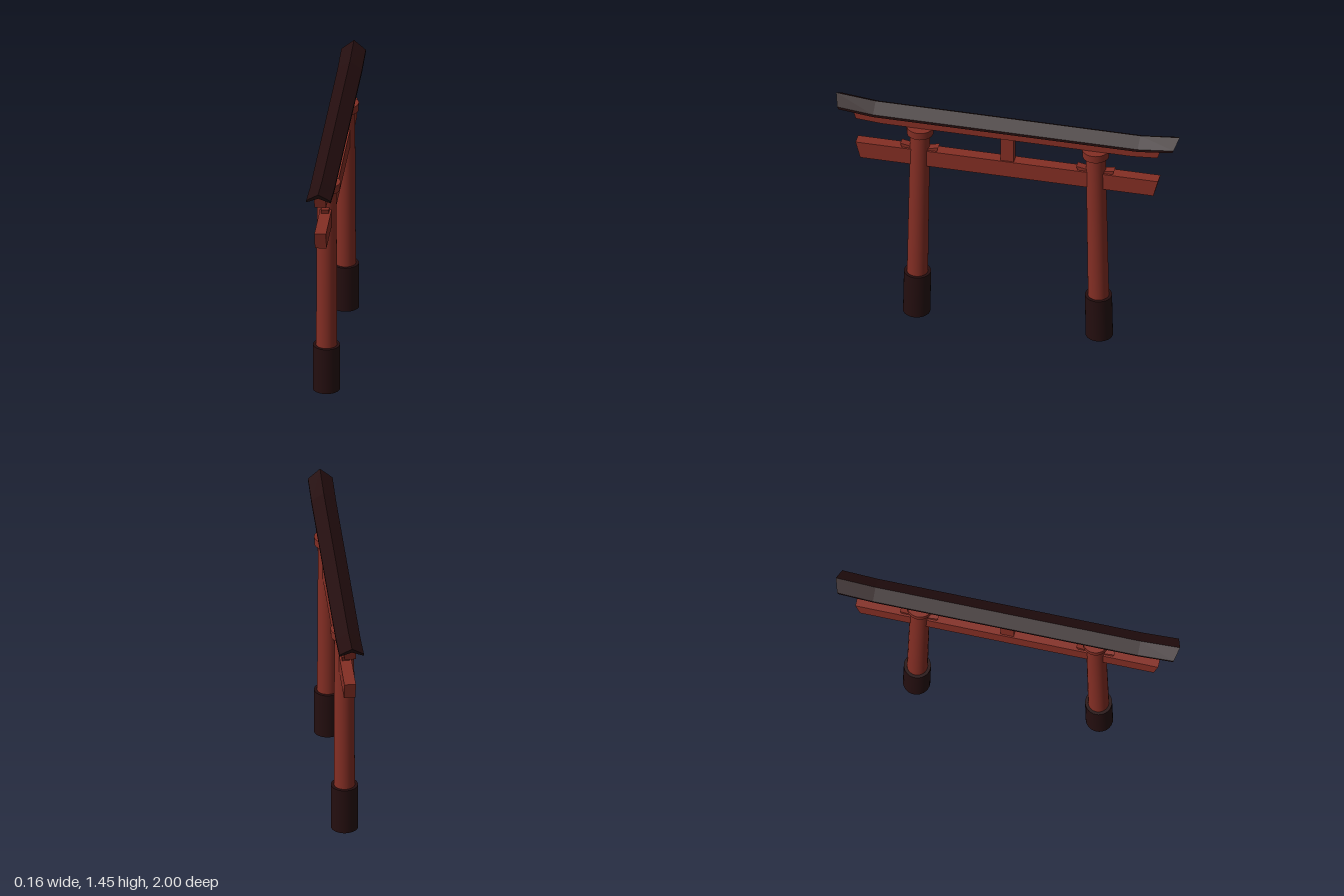
import * as THREE from 'three';

const red = new THREE.MeshStandardMaterial({ name: 'vermilion', color: 0x842e24 });
const black = new THREE.MeshStandardMaterial({ name: 'blackLacquer', color: 0x240e0f });

// Sweeps a counterclockwise profile [x, y] along z, with flat faces and end caps.
// Each station is { z, lift, rake }: lift raises it, rake leans it in z per unit of profile y.
function loft(profile, stations) {
  const rings = stations.map(({ z, lift = 0, rake = 0 }) =>
    profile.map(([x, y]) => [x, y + lift, z + y * rake]));
  const pos = [];
  const tri = (a, b, c) => pos.push(...a, ...b, ...c);
  const n = profile.length;
  for (let i = 0; i < rings.length - 1; i++) {
    for (let j = 0; j < n; j++) {
      const k = (j + 1) % n;
      tri(rings[i][j], rings[i][k], rings[i + 1][k]);
      tri(rings[i][j], rings[i + 1][k], rings[i + 1][j]);
    }
  }
  const first = rings[0], last = rings[rings.length - 1];
  const caps = THREE.ShapeUtils.triangulateShape(profile.map(([x, y]) => new THREE.Vector2(x, y)), []);
  for (const [a, b, c] of caps) {
    tri(last[a], last[b], last[c]);
    tri(first[a], first[c], first[b]);
  }
  const g = new THREE.BufferGeometry();
  g.setAttribute('position', new THREE.Float32BufferAttribute(pos, 3));
  g.computeVertexNormals();
  return g;
}

// Rectangle hanging down from y = 0
const bar = (halfWidth, height) =>
  [[-halfWidth, -height], [halfWidth, -height], [halfWidth, 0], [-halfWidth, 0]];

// Mirrors half a list of stations to the -z end
const mirrored = (half) => [
  ...half.map((s) => ({ ...s, z: -s.z, rake: -(s.rake || 0) })).reverse(), ...half];

function add(parent, name, geometry, material, y = 0) {
  const mesh = new THREE.Mesh(geometry, material);
  mesh.name = name;
  mesh.position.y = y;
  parent.add(mesh);
  return mesh;
}

// Upright cylinder between two heights whose centre follows the inward lean of the pillar
const leanZ = (y) => 0.531 - 0.016 * y;
function leaningCylinder(rTop, rBottom, y0, y1, side) {
  const g = new THREE.CylinderGeometry(rTop, rBottom, y1 - y0, 32);
  g.translate(0, (y0 + y1) / 2, 0);
  const p = g.attributes.position;
  for (let i = 0; i < p.count; i++) p.setZ(i, p.getZ(i) + side * leanZ(p.getY(i)));
  return g;
}

export function createModel() {
  const gate = new THREE.Group();
  gate.name = 'gate';

  // Gabled roof with upswept ends
  const chevron = [[0, -0.03], [0.07, -0.064], [0.07, -0.048], [0, 0], [-0.07, -0.048], [-0.07, -0.064]];
  add(gate, 'roof', loft(chevron, mirrored([
    { z: 0.77 }, { z: 1, lift: 0.023, rake: 0.45 },
  ])), black, 1.43);

  // Upper beam, its ends following the roof
  add(gate, 'upperBeam', loft(bar(0.033, 0.072), mirrored([
    { z: 0.73 }, { z: 0.9, lift: 0.012, rake: 0.3 },
  ])), red, 1.373);

  // Lower tie beam with slanted ends
  add(gate, 'lowerBeam', loft(bar(0.033, 0.104), mirrored([{ z: 0.88, rake: 0.26 }])), red, 1.147);

  // Centre strut between the beams
  add(gate, 'centreStrut', new THREE.BoxGeometry(0.05, 0.16, 0.078), red, 1.225);

  for (const side of [1, -1]) {
    const post = new THREE.Group();
    post.name = side > 0 ? 'frontPost' : 'backPost';
    gate.add(post);

    add(post, 'pillar', leaningCylinder(0.056, 0.06, 0.2, 1.27, side), red);
    add(post, 'capital', leaningCylinder(0.078, 0.076, 1.25, 1.298, side), red);
    // Cylinder groups: side, top, bottom
    add(post, 'baseSleeve', leaningCylinder(0.077, 0.078, 0, 0.277, side), [black, black, red]);

    // Wedges through the pillar, thicker towards the outside
    const wedge = add(post, 'wedge', loft(bar(0.022, 0.034), [
      { z: -0.11, lift: 0.025, rake: -0.3 }, { z: 0, lift: 0.004 }, { z: 0.11, lift: 0.025, rake: 0.3 },
    ]), red, 1.147);
    wedge.position.z = side * 0.512;
  }
  return gate;
}
